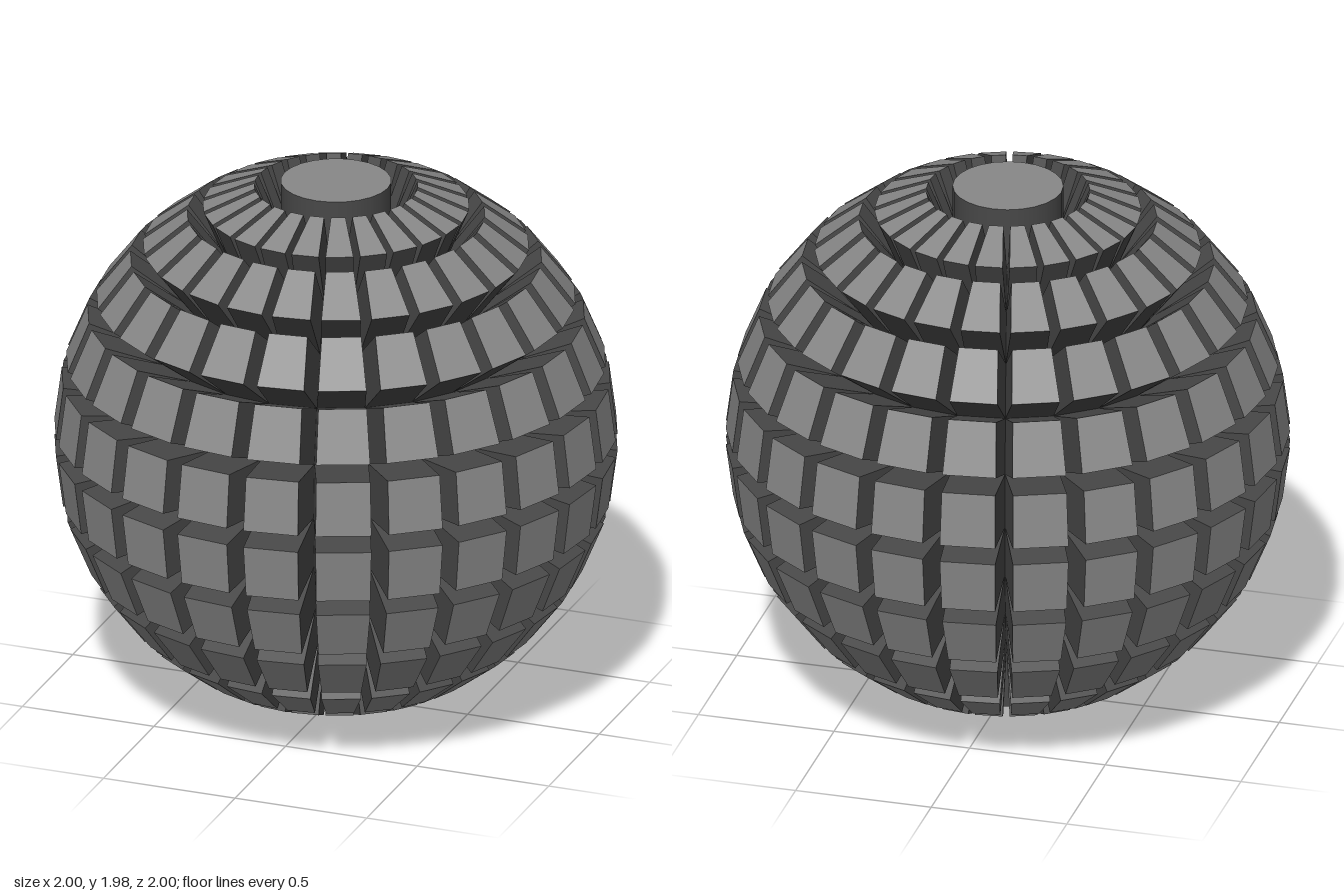
import * as THREE from 'three';
import { mergeGeometries } from 'three/addons/utils/BufferGeometryUtils.js';

const COLUMNS = 24, STEP = Math.PI / 12; // 15 degree grid both ways
const CORE = 0.76, RISE = 0.245;         // core radius and block height

const faceMaterial = new THREE.MeshStandardMaterial({ color: 0x888888 });
faceMaterial.name = 'panel grey';
const wallMaterial = new THREE.MeshStandardMaterial({ color: 0x484848 });
wallMaterial.name = 'gap dark grey';

// Flat-shaded quads, corners given anticlockwise seen from outside
function quads(list) {
  const points = list.flatMap(([a, b, c, d]) => [a, b, c, a, c, d]);
  const geometry = new THREE.BufferGeometry().setFromPoints(points);
  geometry.computeVertexNormals();
  return geometry;
}

function corner(latitude, azimuth) {
  const r = CORE * Math.cos(latitude);
  return new THREE.Vector3(r * Math.sin(azimuth), CORE * Math.sin(latitude), r * Math.cos(azimuth));
}

// Repeat one column's geometry all the way round
function ringOf(geometry) {
  return mergeGeometries(Array.from({ length: COLUMNS }, (_, i) => geometry.clone().rotateY(i * STEP)));
}

function addMesh(parent, name, geometry, material) {
  const mesh = new THREE.Mesh(geometry, material);
  mesh.name = name;
  parent.add(mesh);
}

// A ring of blocks pushed straight out from one latitude band of the core
function blockRing(row) {
  const low = row * STEP, high = low + STEP;
  const base = [corner(low, 0), corner(low, STEP), corner(high, STEP), corner(high, 0)];
  const normal = base[1].clone().sub(base[0]).cross(base[3].clone().sub(base[0])).normalize();
  const top = base.map((p) => p.clone().addScaledVector(normal, RISE));
  const walls = base.map((p, i) => {
    const j = (i + 1) % 4;
    return [p, base[j], top[j], top[i]];
  });
  const ring = new THREE.Group();
  ring.name = 'blockRing' + (row + 6);
  addMesh(ring, 'blockFaces', ringOf(quads([top])), faceMaterial);
  addMesh(ring, 'blockWalls', ringOf(quads(walls)), wallMaterial);
  return ring;
}

export function createModel() {
  const group = new THREE.Group();
  group.name = 'blockSphere';
  const ball = new THREE.Group();
  ball.name = 'ball';
  ball.position.y = CORE + RISE;
  group.add(ball);

  for (let row = -5; row < 5; row++) ball.add(blockRing(row));

  // Raised pole caps: flat on top, shallow cone underneath
  const rim = CORE * Math.cos(5 * STEP), rimY = CORE * Math.sin(5 * STEP);
  for (const side of [1, -1]) {
    const wall = new THREE.CylinderGeometry(rim, rim, RISE, COLUMNS, 1, true);
    wall.translate(0, side * (rimY + RISE / 2), 0);
    addMesh(ball, side > 0 ? 'topCapWall' : 'bottomCapWall', wall, wallMaterial);
  }
  const disc = new THREE.CircleGeometry(rim, COLUMNS).rotateX(-Math.PI / 2).translate(0, rimY + RISE, 0);
  addMesh(ball, 'topCap', disc, faceMaterial);
  const drop = CORE - rimY;
  const cone = new THREE.ConeGeometry(rim, drop, COLUMNS, 1, true).rotateX(Math.PI);
  cone.translate(0, -(rimY + RISE + drop / 2), 0);
  addMesh(ball, 'bottomCap', cone, faceMaterial);

  return group;
}
